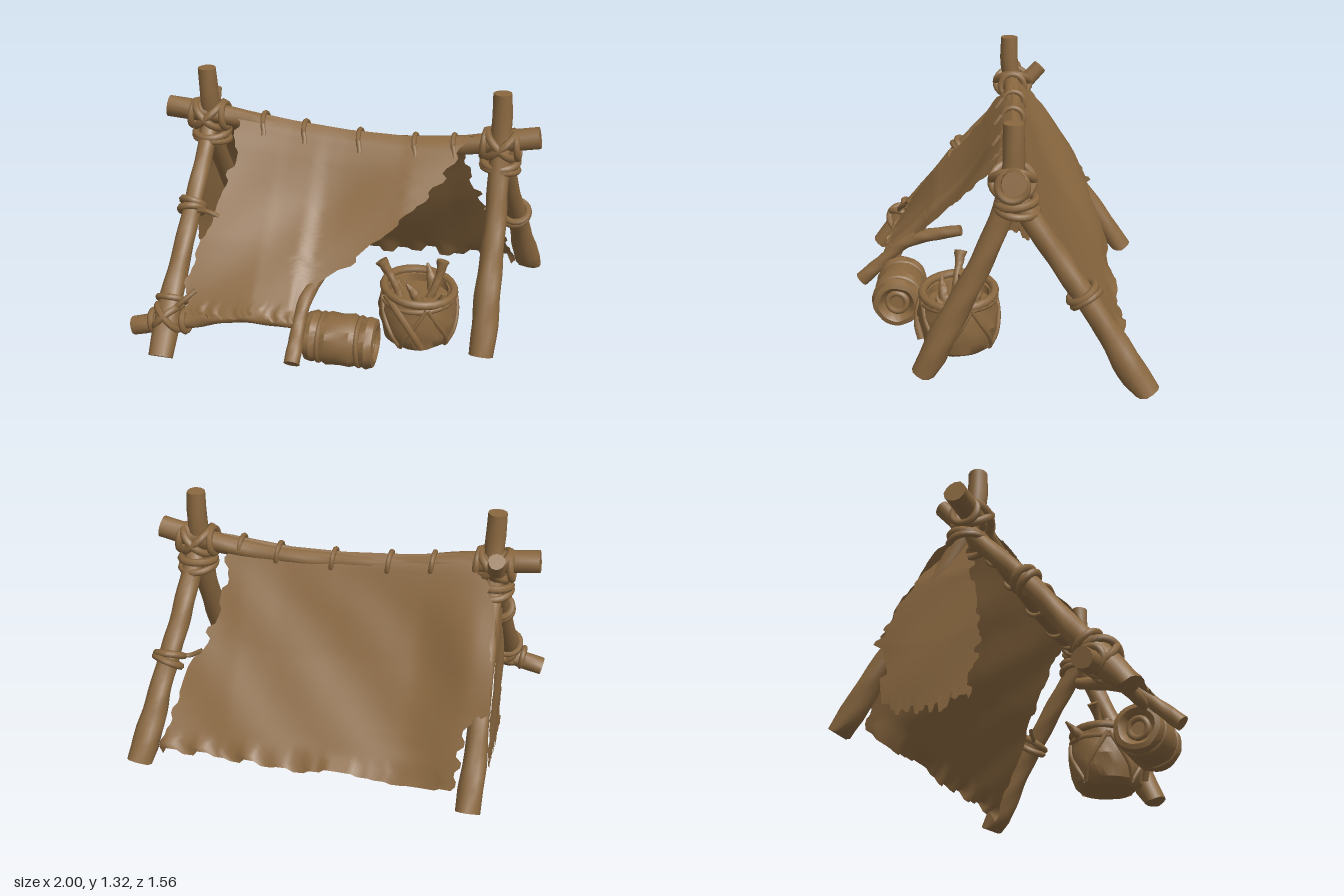
import * as THREE from 'three';
import { toCreasedNormals } from 'three/addons/utils/BufferGeometryUtils.js';

const V = (a) => new THREE.Vector3(...a);
const hash = (n) => { const s = Math.sin(n * 127.1 + 11.7) * 43758.5453; return s - Math.floor(s); };
// Piecewise linear curve through [t, value] pairs
const pl = (pts, t) => {
  for (let i = 1; i < pts.length; i++) {
    const [a, va] = pts[i - 1], [b, vb] = pts[i];
    if (t <= b) return va + (vb - va) * Math.max(0, (t - a) / (b - a));
  }
  return pts[pts.length - 1][1];
};

export function createModel() {
  const model = new THREE.Group();
  const brown = new THREE.MeshStandardMaterial({ color: 0x8a6840, side: THREE.DoubleSide });
  brown.name = 'weathered brown';

  const add = (name, geo, parent = model) => {
    const mesh = new THREE.Mesh(geo, brown);
    mesh.name = name;
    parent.add(mesh);
    return mesh;
  };
  const group = (name, ...pos) => {
    const g = new THREE.Group();
    g.name = name;
    g.position.set(...pos);
    model.add(g);
    return g;
  };

  // Knobbly capped pole along a curve, r = [t, radius] pairs, cut flat at the ground
  const pole = (name, points, r, parent = model) => {
    const curve = new THREE.CatmullRomCurve3(points.map(V));
    const n = 26, sides = 12;
    const geo = new THREE.TubeGeometry(curve, n, 1, sides);
    const p = geo.attributes.position, nor = geo.attributes.normal, d = new THREE.Vector3();
    for (let i = 0; i <= n; i++) {
      const t = i <= 1 ? 0 : i >= n - 1 ? 1 : i / n;
      const c = curve.getPointAt(t), cap = i === 0 || i === n;
      const edge = i === 1 || i === n - 1 ? 0.94 : 1;
      for (let j = 0; j <= sides; j++) {
        const k = i * (sides + 1) + j, a = (j % sides) / sides * Math.PI * 2;
        const bump = 1 + 0.08 * Math.sin(a * 2 + t * 9) * Math.sin(t * 23 + a + points[0][0] * 7);
        d.fromBufferAttribute(nor, k).multiplyScalar(cap ? 0 : pl(r, t) * bump * edge).add(c);
        p.setXYZ(k, d.x, Math.max(d.y, 0.033), d.z);
      }
    }
    return add(name, toCreasedNormals(geo, 0.9), parent);
  };

  // Rope loop around an axis
  const loop = (name, pos, axis, r, tube = 0.02, parent = model) => {
    const m = add(name, new THREE.TorusGeometry(r, tube, 7, 24), parent);
    m.position.set(...pos);
    m.quaternion.setFromUnitVectors(new THREE.Vector3(0, 0, 1), V(axis).normalize());
    return m;
  };
  const rope = (name, points, r = 0.014, parent = model) =>
    add(name, new THREE.TubeGeometry(new THREE.CatmullRomCurve3(points.map(V)), 16, r, 6), parent);

  // Frame poles
  pole('leftFrontPole', [[-0.795, 0.035, 0.725], [-0.79, 0.36, 0.47], [-0.765, 0.7, 0.2], [-0.765, 0.97, -0.05], [-0.78, 1.155, -0.215]],
    [[0, 0.068], [0.15, 0.066], [0.35, 0.052], [0.7, 0.046], [1, 0.044]]);
  pole('leftBackPole', [[-0.78, 0.035, -0.715], [-0.778, 0.42, -0.46], [-0.76, 0.93, -0.12], [-0.75, 1.12, -0.05], [-0.75, 1.33, -0.04]],
    [[0, 0.066], [0.15, 0.06], [0.35, 0.047], [1, 0.05]]);
  pole('rightFrontPole', [[0.785, 0.035, 0.335], [0.79, 0.4, 0.165], [0.785, 0.8, -0.02], [0.78, 1.05, -0.085], [0.775, 1.3, -0.095]],
    [[0, 0.066], [0.2, 0.068], [0.45, 0.056], [1, 0.05]]);
  pole('rightBackPole', [[0.928, 0.03, -0.725], [0.855, 0.48, -0.435], [0.81, 0.8, -0.21], [0.785, 1.02, -0.06]],
    [[0, 0.072], [0.15, 0.07], [0.35, 0.056], [1, 0.052]]);

  // Sagging ridge pole
  const ridgeY = [[-1, 1.1], [-0.6, 1.055], [-0.3, 1.015], [0, 0.99], [0.3, 0.985], [0.6, 1.01], [1, 1.08]];
  pole('ridgePole', ridgeY.map(([x, y]) => [x * 0.975, y, -0.075 - x * 0.025]), [[0, 0.06], [0.3, 0.045], [0.7, 0.045], [1, 0.06]]);

  // Lower rail and bent prop branch
  pole('lowerRail', [[-0.99, 0.115, 0.585], [-0.75, 0.17, 0.585], [-0.45, 0.235, 0.565], [-0.1, 0.24, 0.57]], [[0, 0.052], [0.4, 0.042], [1, 0.028]]);
  pole('propBranch', [[-0.095, 0.12, 0.755], [-0.095, 0.21, 0.655], [-0.09, 0.335, 0.525], [-0.06, 0.4, 0.38], [-0.03, 0.445, 0.2]],
    [[0, 0.042], [0.3, 0.034], [0.7, 0.036], [1, 0.03]]);

  // Ragged cloth sheet: left and right edges and rest position given by rules
  const sheet = (name, edgeA, edgeB, place, seed) => {
    const nu = 54, nv = 42, geo = new THREE.PlaneGeometry(1, 1, nu, nv), p = geo.attributes.position;
    for (let j = 0; j <= nv; j++) {
      const v = j / nv;
      const a = pl(edgeA, v) + (hash(seed + (j >> 1)) - 0.5) * 0.04;
      const b = pl(edgeB, v) + (hash(seed + 50 + (j >> 1)) - 0.5) * 0.05;
      for (let i = 0; i <= nu; i++) {
        const s = a + (b - a) * i / nu;
        const tear = (hash(seed + 90 + Math.floor(i / 3)) - 0.5) * 0.06 * Math.max(0, (v - 0.92) * 12);
        const fold = 0.008 * Math.sin(s * 9 + v * 5 + seed) * Math.sin(v * 7 + s * 3) * Math.min(1, v * 4);
        p.setXYZ(j * (nu + 1) + i, ...place(s, v, tear, fold));
      }
    }
    geo.computeVertexNormals();
    return add(name, geo);
  };
  const mix = (a, b, t) => a + (b - a) * t;
  const top = (x) => pl(ridgeY, x) + 0.052;
  // Inward sag of a sheet, deepest around x = mid
  const sag = (x, v, mid, half) => Math.cos(Math.min(1, Math.abs(x - mid) / half) * Math.PI / 2) * Math.sin(v * Math.PI);

  sheet('frontCloth',
    [[0, -0.6], [0.2, -0.57], [0.5, -0.64], [0.85, -0.71], [1, -0.68]],
    [[0, 0.62], [0.1, 0.58], [0.36, 0.4], [0.5, 0.25], [0.65, 0.1], [0.77, -0.05], [1, -0.07]],
    (x, v, tear, fold) => {
      const s = sag(x, v, -0.2, 0.55);
      return [x,
        mix(top(x), pl([[-0.7, 0.22], [-0.35, 0.28], [-0.15, 0.28], [-0.09, 0.23]], x), v) + tear * 0.6 - 0.038 * s,
        pl([[0, -0.07], [0.03, -0.02], [0.15, 0.075], [0.36, 0.22], [0.6, 0.4], [1, 0.63]], v) + fold - 0.05 * s];
    }, 3);

  // Back cloth, draped over the left back pole above a split near the ground
  sheet('backCloth',
    [[0, -0.64], [0.1, -0.73], [0.2, -0.8], [0.62, -0.82], [0.7, -0.72], [1, -0.69]],
    [[0, 0.62], [0.15, 0.6], [0.35, 0.63], [0.5, 0.68], [0.62, 0.75], [1, 0.84]],
    (x, v, tear, fold) => {
      const drape = THREE.MathUtils.smoothstep(-x, 0.4, 0.74) * Math.sin(v * Math.PI);
      return [x, mix(top(x), 0.08, v) + tear,
        pl([[0, -0.07], [0.03, -0.11], [0.5, -0.36], [1, -0.645]], v) - fold - 0.025 * x * v - tear * 0.4
          + 0.035 * sag(x, v, -0.1, 0.6) - 0.075 * drape];
    }, 7);

  // End cloth, joined to the back cloth along the pole
  sheet('endCloth',
    [[0, -0.17], [0.14, -0.28], [0.38, -0.41], [0.6, -0.515], [0.66, -0.46], [1, -0.47]],
    [[0, -0.07], [0.14, -0.03], [0.4, 0.01], [0.6, 0.03], [1, -0.02]],
    (z, v, tear, fold) => [pl([[0, -0.78], [0.2, -0.815], [0.6, -0.83], [1, -0.83]], v) + fold,
      mix(0.92, 0.06 + Math.abs(z + 0.22) * 0.2, v) + tear, z], 13);

  // Cloth ties along the ridge
  for (const x of [-0.45, -0.23, 0.06, 0.35, 0.55]) {
    const y = pl(ridgeY, x);
    loop('ridgeTie', [x, y, -0.07], [1, 0.1, 0], 0.058, 0.013);
    rope('ridgeTieEnd', [[x, y + 0.02, -0.01], [x + 0.01, y - 0.01, 0.01], [x + 0.015, y - 0.03, 0.025]], 0.012);
  }

  // Crossed lashings at both ridge ends
  for (const [x, y, z] of [[-0.755, 1.065, -0.06], [0.782, 1.03, -0.09]]) {
    const g = group('ridgeLashing', x, y, z);
    for (const s of [-1, 1]) {
      loop('crossLoop', [0, 0, 0], [s, 1.1, 0], 0.095, 0.02, g);
      loop('ridgeLoop', [s * 0.085, 0, 0], [1, 0.1 * s, 0], 0.066, 0.018, g);
    }
    loop('poleLoop', [0, -0.1, -0.02], [0, 1, 0.15], 0.088, 0.02, g);
    loop('poleLoop', [0, -0.135, -0.02], [0.1, 1, -0.1], 0.092, 0.018, g);
  }

  // Pole lashings
  for (const [pos, axis, r] of [[[-0.768, 0.66, 0.235], [0, 0.7, -0.7], 0.06], [[0.853, 0.495, -0.425], [-0.13, 0.82, 0.56], 0.07]]) {
    for (const s of [-1, 1]) {
      const p = V(pos).addScaledVector(V(axis), s * 0.018).toArray();
      loop('poleLashing', p, [axis[0] + s * 0.15, axis[1], axis[2]], r, 0.019);
    }
  }
  rope('clothTie', [[-0.72, 0.66, 0.28], [-0.66, 0.67, 0.3], [-0.6, 0.65, 0.3]]);
  rope('clothTie', [[0.8, 0.5, -0.4], [0.75, 0.5, -0.38], [0.69, 0.53, -0.37]]);
  for (const s of [-1, 1]) {
    loop('railLashing', [-0.79, 0.2, 0.6], [s, 0.9, -0.5], 0.085, 0.018);
    loop('railLashing', [-0.79 + s * 0.085, 0.17 + s * 0.01, 0.585], [1, 0.15, 0], 0.054, 0.017);
  }
  loop('railLashing', [-0.79, 0.27, 0.54], [0, 0.75, -0.65], 0.07, 0.017);
  rope('clothTie', [[-0.75, 0.26, 0.62], [-0.7, 0.31, 0.6], [-0.65, 0.35, 0.56]]);

  // Crumple a lathe by a smooth rule
  const crumple = (geo, amt) => {
    const p = geo.attributes.position;
    for (let i = 0; i < p.count; i++) {
      const x = p.getX(i), y = p.getY(i), z = p.getZ(i), a = Math.atan2(z, x);
      const k = 1 + amt * (Math.sin(a * 5 + y * 40) + 0.6 * Math.sin(a * 8 - y * 55));
      p.setXYZ(i, x * k, y, z * k);
    }
    return toCreasedNormals(geo, 0.6);
  };
  const lathe = (pts, seg) => new THREE.LatheGeometry(pts.map(([r, y]) => new THREE.Vector2(r, y)), seg);

  // Basket with roped rim and kindling
  const basket = group('basket', 0.432, 0, 0.185);
  add('basketBody', crumple(lathe([[0, 0.012], [0.14, 0.012], [0.175, 0.04], [0.192, 0.1], [0.2, 0.16], [0.195, 0.22],
    [0.187, 0.27], [0.182, 0.305], [0.155, 0.3], [0.15, 0.26], [0, 0.265]], 36), 0.028), basket);
  loop('basketRim', [0, 0.31, 0], [0.08, 1, 0.02], 0.182, 0.022, basket);
  loop('basketRim', [0, 0.272, 0], [-0.05, 1, 0.04], 0.188, 0.014, basket);
  for (let i = 0; i < 8; i++) {
    const at = (a, r, y) => [Math.sin(a) * r, y, Math.cos(a) * r];
    const a = i * Math.PI / 4, s = i % 2 ? 1 : -1;
    rope('basketNet', [at(a - 0.38 * s, 0.192, 0.28), at(a - 0.1 * s, 0.2, 0.19), at(a + 0.2 * s, 0.195, 0.1), at(a + 0.38 * s, 0.168, 0.03)], 0.012, basket);
  }
  const flare = [[0, 0.022], [0.7, 0.02], [0.88, 0.026], [1, 0.036]];
  const spike = [[0, 0.03], [0.6, 0.026], [1, 0.006]];
  for (const [base, tip, r] of [
    [[0.04, 0.22, 0.02], [0.115, 0.455, -0.04], flare], [[-0.08, 0.22, 0.03], [-0.2, 0.44, 0.0], flare],
    [[0.02, 0.22, 0.06], [-0.05, 0.37, 0.09], spike], [[0.06, 0.22, -0.06], [0.02, 0.39, -0.12], spike],
    [[-0.1, 0.23, -0.05], [-0.24, 0.34, -0.14], spike], [[0.1, 0.22, 0.05], [0.14, 0.34, 0.1], spike]]) {
    const mid = base.map((v, i) => (v + tip[i]) / 2 + (i === 0 ? 0.012 : 0));
    pole('kindling', [base, mid, tip], r, basket);
  }
  rope('basketStrap', [[-0.15, 0.31, 0.12], [-0.06, 0.24, 0.195], [0.02, 0.13, 0.21], [0.05, 0.06, 0.19]], 0.018, basket);

  // Bedroll lying along x, with recessed ends
  const roll = group('bedroll', 0.1, 0.148, 0.52);
  const half = [[0.0, 0.14], [0.065, 0.14], [0.075, 0.165], [0.095, 0.182], [0.12, 0.175], [0.132, 0.14], [0.118, 0.1], [0.134, 0.06], [0.13, 0]];
  const profile = [...half.map(([r, y]) => [r, -y]), ...half.slice(0, -1).reverse()];
  add('rolledCloth', crumple(lathe(profile, 30), 0.02), roll).rotation.z = -Math.PI / 2;
  for (const s of [-1, 1]) {
    loop('rollStrap', [s * 0.1, 0, 0], [1, 0.04 * s, 0], 0.12, 0.014, roll);
    loop('rollEnd', [s * 0.145, 0, 0], [1, 0.1, 0.1], 0.05, 0.016, roll);
  }
  return model;
}
